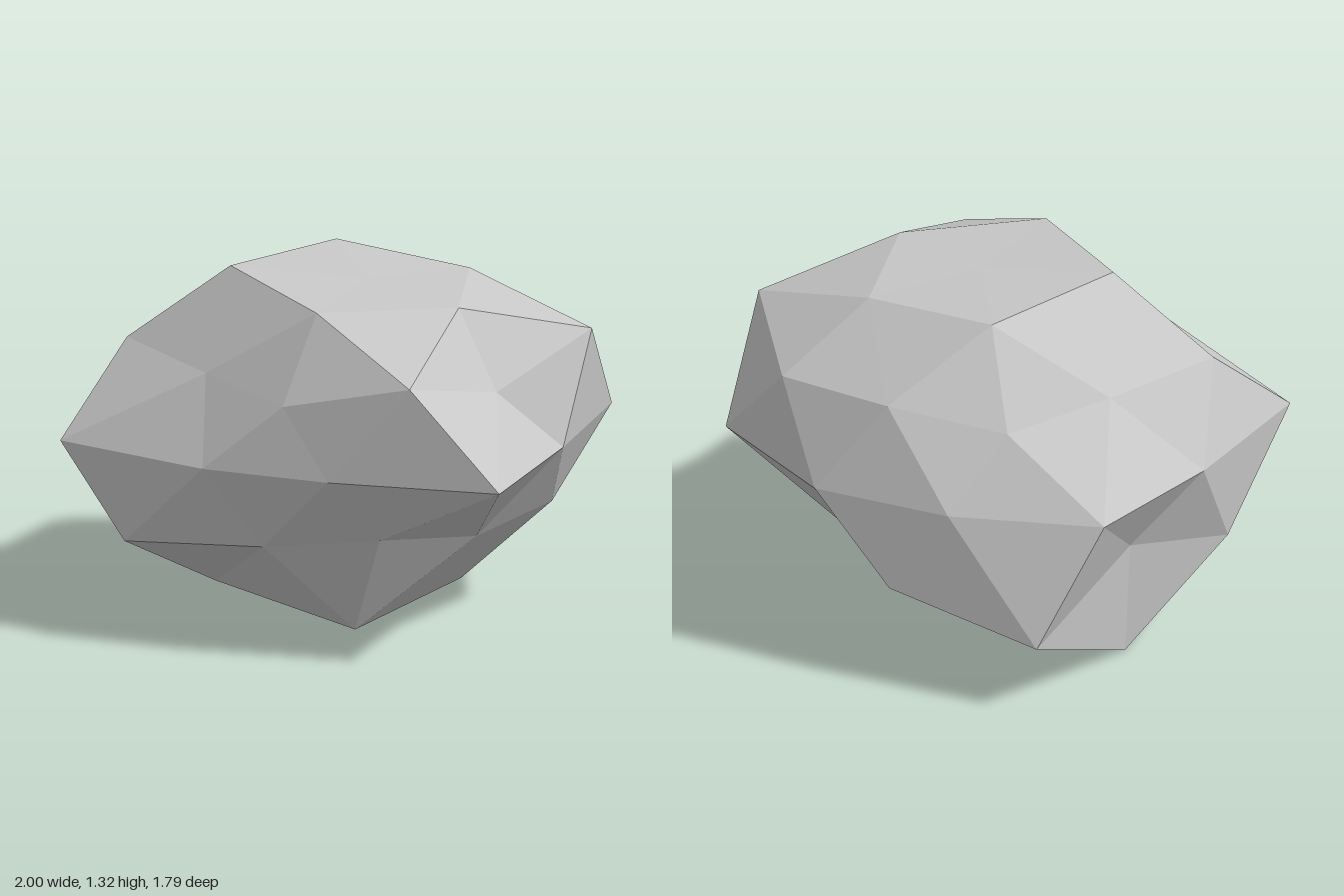
import * as THREE from 'three';

// Rings of a subdivided icosahedron: latitude(s), first azimuth, and radius of every corner (degrees).
const RINGS = [
  { lat: [58.28], start: 0, radii: [0.873, 0.91, 0.975, 0.93, 0.865] },
  { lat: [26.57, 31.72], start: 0, radii: [0.78, 0.965, 0.777, 0.77, 0.96, 0.807, 0.8, 0.859, 0.935, 1.02] },
  { lat: [0], start: 18, radii: [1.105, 0.8, 0.815, 1.09, 0.89, 1.0, 0.85, 0.91, 1.02, 0.88] },
  { lat: [-31.72, -26.57], start: 0, radii: [0.825, 0.8, 0.8, 1.015, 0.975, 0.78, 1.155, 0.97, 0.78, 0.91] },
  { lat: [-58.28], start: 36, radii: [1.065, 0.9, 1.12, 0.895, 0.985] },
];

// Squashed and leaning position of a corner
function corner(lat, azimuth, r) {
  const a = THREE.MathUtils.degToRad(lat);
  const t = THREE.MathUtils.degToRad(azimuth);
  const h = 0.74 * r * Math.sin(a);
  return new THREE.Vector3(
    -0.05 + 0.18 * h + r * Math.cos(a) * Math.cos(t),
    0.705 + h,
    0.015 + r * Math.cos(a) * Math.sin(t)
  );
}

function rockGeometry() {
  const [A, B, E, F, G] = RINGS.map(({ lat, start, radii }) => {
    const ring = radii.map((r, i) => corner(lat[i % lat.length], start + (i * 360) / radii.length, r));
    return (i) => ring[(i + ring.length) % ring.length];
  });
  const top = corner(90, 0, 0.777);
  const bottom = corner(-90, 0, 0.86);
  const points = [];
  const face = (...corners) => points.push(...corners);

  // Caps and the bands beside them
  for (let k = 0; k < 5; k++) {
    const j = 2 * k;
    face(top, A(k + 1), A(k));
    face(A(k), B(j + 1), B(j));
    face(A(k), A(k + 1), B(j + 1));
    face(A(k + 1), B(j + 2), B(j + 1));
    face(G(k), F(j), F(j + 1));
    face(G(k), F(j + 1), F(j + 2));
    face(G(k), F(j + 2), G(k + 1));
    face(bottom, G(k), G(k + 1));
  }
  // Two bands meeting at the middle ring
  for (let j = 0; j < 10; j++) {
    face(B(j), E(j), E(j - 1));
    face(B(j), B(j + 1), E(j));
    face(F(j), E(j - 1), E(j));
    face(F(j), E(j), F(j + 1));
  }
  const geometry = new THREE.BufferGeometry().setFromPoints(points);
  geometry.computeVertexNormals();
  return geometry;
}

export function createModel() {
  const stone = new THREE.MeshStandardMaterial({ color: 0xc8c8c8, flatShading: true });
  stone.name = 'stone grey';
  const rock = new THREE.Mesh(rockGeometry(), stone);
  rock.name = 'rock';
  const group = new THREE.Group();
  group.name = 'boulder';
  group.add(rock);
  return group;
}
